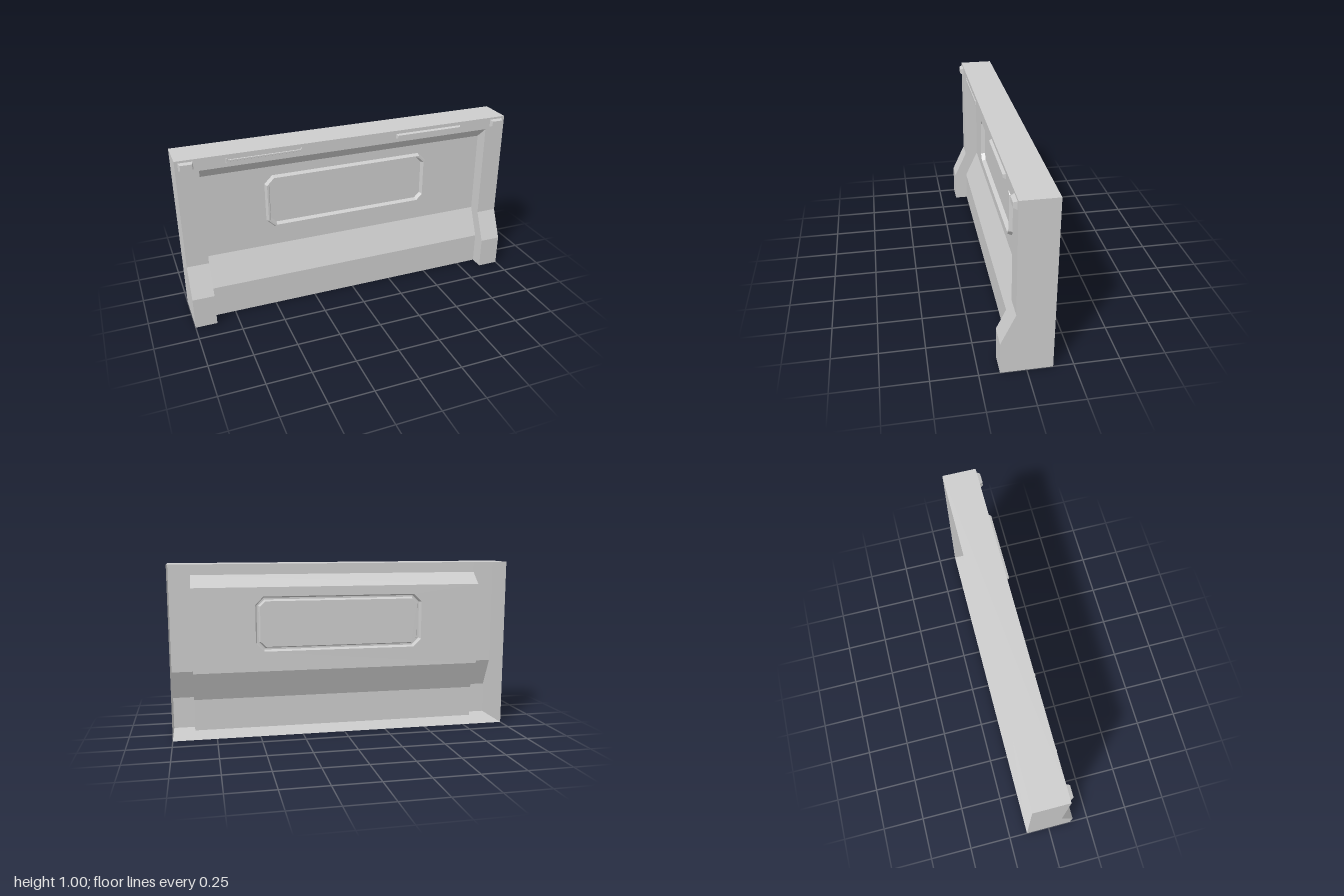
import * as THREE from 'three';

const BACK = -0.14, FRONT = 0.06, FOOT = 0.14, RECESS = -0.02, POST = 0.875;

export function createModel() {
  const root = new THREE.Group();
  const grey = new THREE.MeshStandardMaterial({ color: 0xcccccc, side: THREE.DoubleSide });
  grey.name = 'concreteGrey';

  function add(name, geo) {
    const g = geo.index ? geo.toNonIndexed() : geo;
    g.computeVertexNormals();
    const m = new THREE.Mesh(g, grey);
    m.name = name;
    root.add(m);
    return m;
  }
  const shapeOf = pts => new THREE.Shape(pts.map(p => new THREE.Vector2(p[0], p[1])));

  // Sheet folded along a list of [y, z] points, spanning x0 to x1
  function foldedSheet(name, profile, x0, x1) {
    const pos = [];
    for (let i = 0; i < profile.length - 1; i++) {
      const [ya, za] = profile[i], [yb, zb] = profile[i + 1];
      pos.push(x0, ya, za, x1, ya, za, x1, yb, zb, x0, ya, za, x1, yb, zb, x0, yb, zb);
    }
    const g = new THREE.BufferGeometry();
    g.setAttribute('position', new THREE.Float32BufferAttribute(pos, 3));
    return add(name, g);
  }
  // Flat plate facing sideways, outline in [z, y]
  function sidePlate(name, outline, x) {
    const g = new THREE.ShapeGeometry(shapeOf(outline.map(([z, y]) => [-z, y])));
    g.rotateY(Math.PI / 2).translate(x, 0, 0);
    if (x < 0) g.scale(-1, 1, 1).translate(2 * x, 0, 0);
    return add(name, g);
  }
  // Bands joining equal loops of points
  function loft(name, loops) {
    const pos = [], n = loops[0].length;
    for (let r = 0; r < loops.length - 1; r++)
      for (let i = 0; i < n; i++) {
        const j = (i + 1) % n, A = loops[r], B = loops[r + 1];
        pos.push(...A[i], ...A[j], ...B[j], ...A[i], ...B[j], ...B[i]);
      }
    const g = new THREE.BufferGeometry();
    g.setAttribute('position', new THREE.Float32BufferAttribute(pos, 3));
    return add(name, g);
  }

  // End posts: outer wall, stepped front and inner jamb
  const postFront = [[0, FOOT], [0.187, FOOT], [0.36, FRONT], [1, FRONT]];
  for (const s of [1, -1]) {
    const side = s > 0 ? 'left' : 'right';
    sidePlate(side + 'EndWall', [[BACK, 0], [FOOT, 0], [FOOT, 0.187], [FRONT, 0.36], [FRONT, 1], [BACK, 1]], s);
    foldedSheet(side + 'PostFront', postFront, s > 0 ? POST : -1, s > 0 ? 1 : -POST);
    sidePlate(side + 'Jamb', [[FOOT, 0], [FOOT, 0.187], [FRONT, 0.36], [FRONT, 0.93],
      [RECESS, 0.86], [RECESS, 0.36], [FRONT, 0.187], [FRONT, 0]], s * POST);
  }

  // Recessed middle: sloped skirt below, sloped header above
  foldedSheet('skirt', [[0, FRONT], [0.187, FRONT], [0.36, RECESS]], -POST, POST);
  foldedSheet('header', [[0.86, RECESS], [0.93, FRONT], [1, FRONT]], -POST, POST);
  foldedSheet('topCap', [[1, FRONT], [1, BACK]], -1, 1);
  const floor = new THREE.ShapeGeometry(shapeOf([[-1, BACK], [1, BACK], [1, FOOT], [POST, FOOT],
    [POST, FRONT], [-POST, FRONT], [-POST, FOOT], [-1, FOOT]]));
  add('floor', floor.rotateX(Math.PI / 2));

  // Octagonal frame pressed forward out of the panel
  const octagon = (inset, z) => {
    const w = 0.508 - inset, h = 0.163 - inset, c = 0.048 - inset * 0.58, y = 0.642;
    return [[-w + c, -h], [w - c, -h], [w, -h + c], [w, h - c], [w - c, h], [-w + c, h], [-w, h - c], [-w, -h + c]]
      .map(p => [p[0], p[1] + y, z]);
  };
  const panel = shapeOf([[-POST, 0.36], [POST, 0.36], [POST, 0.86], [-POST, 0.86]]);
  panel.holes.push(new THREE.Path(octagon(0, 0).map(p => new THREE.Vector2(p[0], p[1]))));
  add('panel', new THREE.ShapeGeometry(panel).translate(0, 0, RECESS));
  const ridge = RECESS + 0.025;
  loft('windowFrame', [octagon(0, RECESS), octagon(0.009, ridge), octagon(0.019, ridge), octagon(0.028, RECESS)]);
  add('framedPanel', new THREE.ShapeGeometry(shapeOf(octagon(0.028, 0))).translate(0, 0, RECESS));

  // Tapered blocks on the header
  function block(name, x, y, w, h, depth, inset) {
    const rect = (i, z) => [[-1, -1], [1, -1], [1, 1], [-1, 1]]
      .map(([a, b]) => [x + a * (w / 2 - i), y + b * (h / 2 - i), z]);
    loft(name, [rect(0, FRONT), rect(inset, FRONT + depth), rect(Math.min(w, h) / 2, FRONT + depth)]);
  }
  for (const s of [1, -1]) block('cornerBlock', s * 0.942, 0.966, 0.08, 0.044, 0.02, 0.008);
  block('raisedBar', 0.482, 0.966, 0.42, 0.028, 0.015, 0.006);

  // Slim rail with end stops
  block('slimRail', -0.515, 0.965, 0.42, 0.012, 0.004, 0.002);
  for (const x of [-0.725, -0.307]) block('railStop', x, 0.965, 0.01, 0.028, 0.006, 0.002);

  return root;
}
